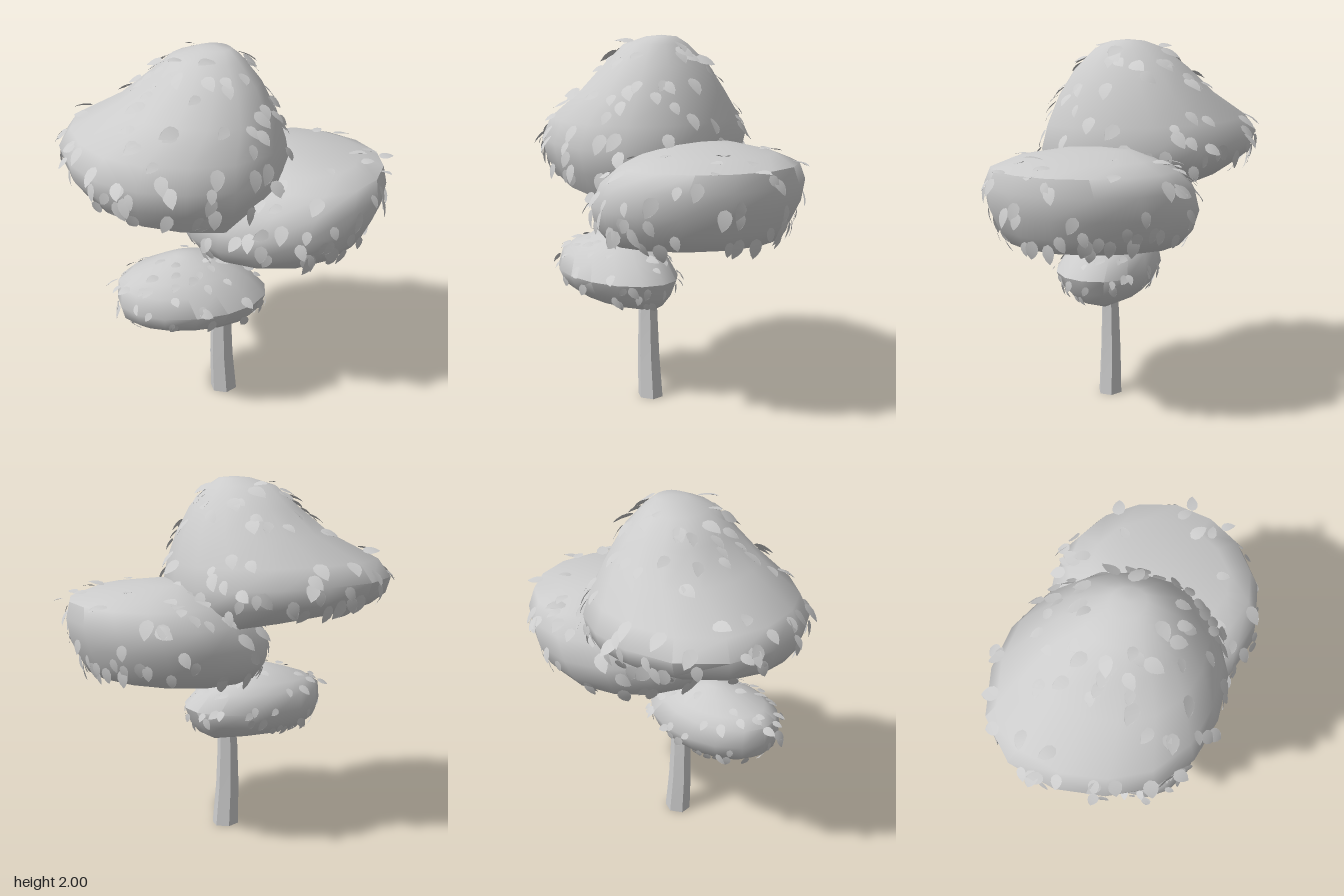
import * as THREE from 'three';
import { mergeGeometries, toCreasedNormals } from 'three/addons/utils/BufferGeometryUtils.js';

const V = (x, y, z) => new THREE.Vector3(x, y, z);
const SIDES = 15;
const STEP = (Math.PI * 2) / SIDES;

// Seeded random numbers
function seeded(seed) {
  return () => {
    seed = (seed * 16807) % 2147483647;
    return seed / 2147483647;
  };
}

// Point on a horizontal ring [y, xMin, xMax, zMin, zMax]: a tilted oval whose
// squareness and diagonal bulge can be set
function ringPoint([y, x0, x1, z0, z1], { power, diagonal }, tilt, angle) {
  const c = Math.cos(angle), s = Math.sin(angle);
  const k = Math.pow(Math.abs(c) ** power + Math.abs(s) ** power, -1 / power)
    * (1 + diagonal * Math.sin(2 * angle));
  const dx = c * k * (x1 - x0) / 2, dz = s * k * (z1 - z0) / 2;
  return V((x0 + x1) / 2 + dx, y + tilt[0] * dx + tilt[1] * dz, (z0 + z1) / 2 + dz);
}

// Rows of corners from the base point through the rings to the apex;
// the tilt of the underside fades out upwards
function canopyRows(base, rings, tilt, outline) {
  const rows = rings.map((ring, i) => Array.from({ length: SIDES }, (_, j) =>
    ringPoint(ring, outline, tilt.map((slope) => slope * 0.55 ** i), j * STEP)));
  const [y, x0, x1, z0, z1] = rings[rings.length - 1];
  const apex = V((x0 + x1) / 2, y + 0.008, (z0 + z1) / 2);
  return [Array(SIDES).fill(base), ...rows, Array(SIDES).fill(apex)];
}

// Closed foliage mass lofted through the rows
function canopyGeometry(rows) {
  const pos = [];
  const tri = (...pts) => pts.forEach((p) => pos.push(p.x, p.y, p.z));
  for (let i = 0; i < rows.length - 1; i++) {
    for (let j = 0; j < SIDES; j++) {
      const k = (j + 1) % SIDES;
      if (i > 0) tri(rows[i][j], rows[i + 1][j], rows[i][k]);
      if (i < rows.length - 2) tri(rows[i][k], rows[i + 1][j], rows[i + 1][k]);
    }
  }
  const geo = new THREE.BufferGeometry();
  geo.setAttribute('position', new THREE.Float32BufferAttribute(pos, 3));
  return toCreasedNormals(geo, 0.95);
}

// Pointed leaf, stem at the origin and tip at y = 1, gently curved
function leafGeometry() {
  const s = new THREE.Shape();
  s.moveTo(0, 0);
  s.bezierCurveTo(0.52, 0.1, 0.36, 0.68, 0, 1);
  s.bezierCurveTo(-0.36, 0.68, -0.52, 0.1, 0, 0);
  const geo = new THREE.ShapeGeometry(s, 5);
  const p = geo.attributes.position;
  for (let i = 0; i < p.count; i++) {
    p.setZ(i, 0.1 * Math.sin(p.getY(i) * Math.PI) - 0.3 * p.getX(i) ** 2);
  }
  geo.computeVertexNormals();
  return geo;
}

// Leaves scattered over a canopy, densest round the rim, tips pointing down
function leavesGeometry(rows, count, size, random) {
  const leaf = leafGeometry(), parts = [];
  const surface = (t, a) => {
    const i = Math.floor(t), j = Math.floor(a / STEP) % SIDES;
    const across = (row) => row[j].clone().lerp(row[(j + 1) % SIDES], (a / STEP) % 1);
    return across(rows[i]).lerp(across(rows[i + 1]), t - i);
  };
  for (let n = 0; n < count; n++) {
    const t = 1.6 + (rows.length - 4.2) * random() ** 1.5;
    const a = (n * 2.39996 + random() * 0.4) % (Math.PI * 2);
    const p = surface(t, a);
    const up = surface(t + 0.05, a).sub(p).normalize();
    const around = surface(t, a + 0.03).sub(p).normalize();
    const normal = up.clone().cross(around).normalize();
    const tip = up.clone().negate().addScaledVector(normal, 0.05 + random() * 0.3)
      .applyAxisAngle(normal, (random() - 0.5) * 1.5).normalize();
    const side = tip.clone().cross(normal).normalize();
    const face = side.clone().cross(tip);
    const scale = size * (0.8 + random() * 0.5);
    const m = new THREE.Matrix4().makeBasis(side, tip, face)
      .scale(V(scale, scale, scale))
      .setPosition(p.addScaledVector(normal, 0.004));
    parts.push(leaf.clone().applyMatrix4(m));
  }
  return mergeGeometries(parts);
}

// Six-sided trunk that tapers and bends slightly
function trunkGeometry() {
  const geo = new THREE.CylinderGeometry(1, 1, 1.25, 6, 5);
  geo.translate(0, 0.625, 0);
  const path = new THREE.CatmullRomCurve3([
    V(-0.013, 0, 0.105), V(-0.028, 0.3, 0.107), V(-0.024, 0.6, 0.11),
    V(-0.008, 0.9, 0.122), V(0.03, 1.25, 0.12)]);
  const p = geo.attributes.position;
  for (let i = 0; i < p.count; i++) {
    const t = p.getY(i) / 1.25, c = path.getPoint(t);
    const r = 0.068 - 0.04 * t;
    p.setXYZ(i, c.x + p.getX(i) * r * 1.12, c.y, c.z + p.getZ(i) * r);
  }
  return toCreasedNormals(geo, 0.4);
}

export function createModel() {
  const model = new THREE.Group();
  model.name = 'tree';
  const material = new THREE.MeshStandardMaterial({ color: 0xcccccc });
  const leafMaterial = new THREE.MeshStandardMaterial({ color: 0xcccccc, side: THREE.DoubleSide });
  const random = seeded(4217);

  const add = (parent, name, geometry, mat) => {
    const mesh = new THREE.Mesh(geometry, mat);
    mesh.name = name;
    parent.add(mesh);
  };
  const addCanopy = (name, leafCount, leafSize, outline, base, tilt, rings) => {
    const rows = canopyRows(base, rings, tilt, outline);
    const group = new THREE.Group();
    group.name = name;
    add(group, 'foliage', canopyGeometry(rows), material);
    add(group, 'leaves', leavesGeometry(rows, leafCount, leafSize, random), leafMaterial);
    model.add(group);
  };

  add(model, 'trunk', trunkGeometry(), material);

  addCanopy('upperCanopy', 140, 0.09, { power: 2.3, diagonal: 0.05 },
    V(-0.2, 1.2, 0), [-0.12, -0.14], [
      [1.24, -0.74, 0.24, -0.49, 0.42],
      [1.34, -0.80, 0.31, -0.59, 0.50],
      [1.45, -0.82, 0.33, -0.62, 0.53],
      [1.56, -0.76, 0.31, -0.56, 0.49],
      [1.70, -0.51, 0.26, -0.42, 0.40],
      [1.84, -0.35, 0.19, -0.30, 0.30],
      [1.95, -0.24, 0.10, -0.17, 0.19],
      [1.99, -0.11, 0.05, -0.08, 0.09]]);

  addCanopy('middleCanopy', 95, 0.09, { power: 1.9, diagonal: 0 },
    V(0.2, 0.9, 0.05), [0.05, 0], [
      [0.96, -0.16, 0.77, -0.39, 0.52],
      [1.04, -0.22, 0.81, -0.46, 0.59],
      [1.15, -0.22, 0.86, -0.50, 0.63],
      [1.27, -0.13, 0.88, -0.49, 0.62],
      [1.36, 0.00, 0.86, -0.42, 0.56],
      [1.41, 0.10, 0.73, -0.30, 0.44],
      [1.45, 0.20, 0.48, -0.15, 0.20]]);

  addCanopy('lowerCanopy', 75, 0.062, { power: 2.05, diagonal: 0 },
    V(0.05, 0.52, 0.11), [-0.04, 0.05], [
      [0.56, -0.52, 0.12, 0.00, 0.36],
      [0.62, -0.59, 0.17, -0.06, 0.43],
      [0.70, -0.61, 0.20, -0.10, 0.47],
      [0.80, -0.60, 0.11, -0.07, 0.42],
      [0.85, -0.53, 0.03, -0.03, 0.36],
      [0.90, -0.39, -0.06, 0.04, 0.28],
      [0.93, -0.29, -0.17, 0.11, 0.21]]);

  return model;
}
